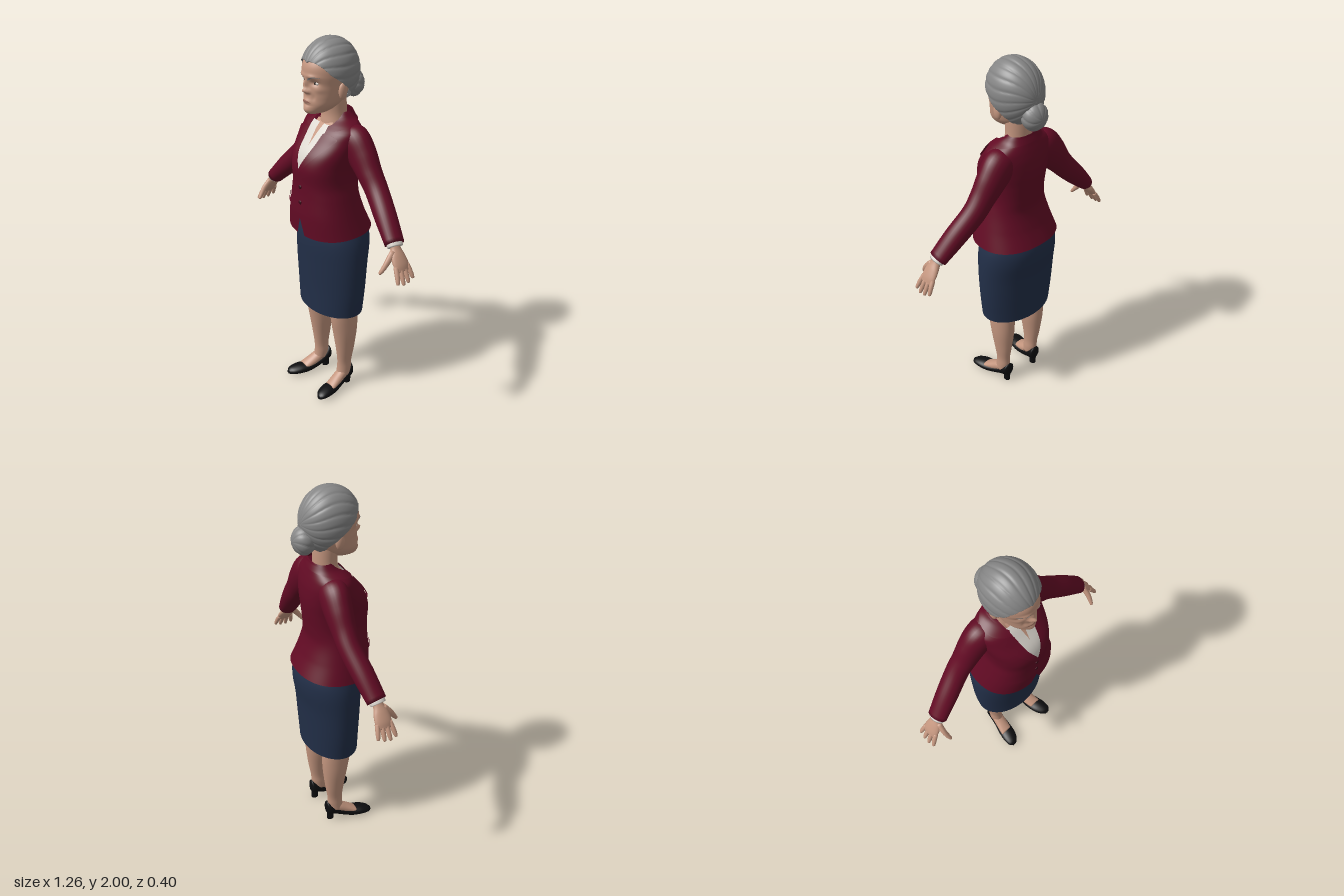
import * as THREE from 'three';
import { mergeVertices } from 'three/addons/utils/BufferGeometryUtils.js';

const mat = (name, color, side = THREE.FrontSide) => {
  const m = new THREE.MeshStandardMaterial({ color, side });
  m.name = name;
  return m;
};
const V = (x, y, z) => new THREE.Vector3(x, y, z);

// Smooth interpolation of table rows keyed on their first column
function spline(rows, x) {
  const n = rows.length - 1;
  x = Math.min(Math.max(x, rows[0][0]), rows[n][0]);
  let i = 0;
  while (i < n - 1 && x > rows[i + 1][0]) i++;
  const a = rows[i], b = rows[i + 1], h = b[0] - a[0], t = (x - a[0]) / h;
  const p = rows[Math.max(i - 1, 0)], q = rows[Math.min(i + 2, n)];
  return a.slice(1).map((_, k) => {
    const c = k + 1, m0 = (b[c] - p[c]) / (b[0] - p[0]), m1 = (q[c] - a[c]) / (q[0] - a[0]);
    const t2 = t * t, t3 = t2 * t;
    return (2 * t3 - 3 * t2 + 1) * a[c] + (t3 - 2 * t2 + t) * h * m0 + (3 * t2 - 2 * t3) * b[c] + (t3 - t2) * h * m1;
  });
}

// Surface from a rule fn(u, v); outward is (v direction) x (u direction)
function grid(fn, nu, nv) {
  const pos = [], idx = [];
  for (let i = 0; i <= nu; i++) for (let j = 0; j <= nv; j++) pos.push(...fn(i / nu, j / nv).toArray());
  for (let i = 0; i < nu; i++) for (let j = 0; j < nv; j++) {
    const a = i * (nv + 1) + j, c = a + nv + 1;
    idx.push(a, a + 1, c, a + 1, c + 1, c);
  }
  let g = new THREE.BufferGeometry();
  g.setAttribute('position', new THREE.Float32BufferAttribute(pos, 3));
  g.setIndex(idx);
  g = mergeVertices(g, 1e-5);
  g.computeVertexNormals();
  return g;
}

// Elliptical loft through rows [x, y, z, radius across, radius along ref]
function limb(rows, { ref = V(0, 0, 1), dir = null, cap = true, nu = 30, nv = 28, warp = (p) => p } = {}) {
  const keyed = rows.map((r, i) => [i, ...r]), last = rows.length - 1;
  const centre = (k) => V(...spline(keyed, k).slice(0, 3));
  return grid((u, v) => {
    const s = cap ? THREE.MathUtils.clamp((u * (nu + 2) - 1) / nu, 0, 1) : u;
    const k = s * last, r = spline(keyed, k), c = V(r[0], r[1], r[2]);
    if (cap && (u === 0 || u === 1)) return warp(c);
    const d = dir || centre(Math.min(k + 0.1, last)).sub(centre(Math.max(k - 0.1, 0))).normalize();
    const e2 = ref.clone().addScaledVector(d, -ref.dot(d)).normalize();
    const e1 = e2.clone().cross(d), t = (v % 1) * Math.PI * 2;
    return warp(c.addScaledVector(e1, r[3] * Math.cos(t)).addScaledVector(e2, r[4] * Math.sin(t)));
  }, cap ? nu + 2 : nu, nv);
}

function mirrored(g) {
  const m = g.clone().scale(-1, 1, 1), ix = m.index.array;
  for (let i = 0; i < ix.length; i += 3) [ix[i], ix[i + 1]] = [ix[i + 1], ix[i]];
  m.computeVertexNormals();
  return m;
}

// Jacket torso: [height, half width, front z, back z]
const TORSO = [[1.0, .228, .19, -.192], [1.1, .203, .195, -.155], [1.2, .178, .19, -.127], [1.27, .163, .19, -.13],
  [1.36, .165, .195, -.14], [1.43, .175, .172, -.145], [1.5, .183, .118, -.14], [1.55, .18, .078, -.128],
  [1.575, .15, .05, -.12], [1.6, .105, .02, -.112], [1.63, .08, 0, -.1]];
// Half width of the front opening
const OPENING = [[.98, .035], [1.03, .02], [1.09, 0], [1.33, 0], [1.45, .045], [1.55, .065], [1.6, .075], [1.63, .075]];
const opening = (y) => Math.max(0, spline(OPENING, y)[0]);
const P = 2.3;
const frontAngle = (x, y, off = 0) => Math.sign(x) * Math.asin(Math.min(.97, Math.abs(x) / (spline(TORSO, y)[0] + off)) ** (P / 2));
function torso(y, a, off = 0) {
  const [rx, zf, zb] = spline(TORSO, y), pw = (t) => Math.sign(t) * Math.abs(t) ** (2 / P);
  const hem = .013 * Math.cos(a) * Math.max(0, (1.1 - y) / .1);
  return V((rx + off) * pw(Math.sin(a)), y - hem, (zf + zb) / 2 + ((zf - zb) / 2 + off) * pw(Math.cos(a)));
}
const onFront = (x, y, off) => torso(y, frontAngle(x, y, off), off);

// Head rings: [height, centre z, half width, half depth]
const HEAD = [[1.633, .085, .022, .04], [1.645, .072, .048, .074], [1.68, .046, .078, .104], [1.72, .028, .092, .116],
  [1.78, .015, .104, .125], [1.83, .014, .112, .134], [1.88, .011, .112, .131], [1.93, .005, .095, .105], [1.97, 0, .05, .06]];
// Face relief: [x, y, spread x, spread y, height]
const RELIEF = [[0, 1.757, .016, .013, .028], [0, 1.79, .011, .024, .016], [0, 1.705, .026, .011, .007],
  [0, 1.66, .026, .014, .006], [0, 1.685, .03, .006, -.004]];
for (const s of [-1, 1]) RELIEF.push([s * .043, 1.797, .021, .013, -.013], [s * .038, 1.83, .03, .01, .007],
  [s * .065, 1.765, .02, .015, .005], [s * .018, 1.752, .008, .008, .009], [s * .04, 1.725, .009, .016, -.004]);
const relief = (x, y) => RELIEF.reduce((t, [cx, cy, sx, sy, h]) => t + h * Math.exp(-(((x - cx) / sx) ** 2) - ((y - cy) / sy) ** 2), 0);
function faceZ(x, y) {
  const [zc, rx, rz] = spline(HEAD, y);
  return zc + rz * Math.sqrt(Math.max(0, 1 - (x / rx) ** 2)) + relief(x, y);
}

// Combed hair mass running from a pole at the back to a hairline
const hairMass = (c, r, edge, ripple, nu, nv) => grid((u, v) => {
  const phi = -(v % 1) * Math.PI * 2, fold = 180 - Math.abs(180 - (v % 1) * 360);
  const th = THREE.MathUtils.degToRad(edge(fold)) * Math.min(1, u * 1.03);
  const k = (1 - ripple(phi, th)) * (u > .985 ? .9 : 1);
  return V(c[0] + k * r[0] * Math.sin(phi) * Math.sin(th), c[1] + k * r[1] * Math.cos(phi) * Math.sin(th), c[2] - k * r[2] * Math.cos(th));
}, nu, nv);

export function createModel() {
  const D = THREE.DoubleSide;
  const skin = mat('skin', 0xc4967f, D), jacket = mat('burgundy cloth', 0x620b24, D), skirt = mat('navy cloth', 0x222f48, D);
  const hair = mat('grey hair', 0x858585, D), leather = mat('black leather', 0x0d0d0f), blouse = mat('off white cloth', 0xdcd7cf, D);
  const eyeWhite = mat('eye white', 0xd2cbc4), dark = mat('dark iris', 0x2a1e1a), lip = mat('lip', 0x9c6a5c, D), button = mat('button', 0x3a0616);
  const root = new THREE.Group();
  root.name = 'woman';
  const add = (name, g, m) => {
    const o = new THREE.Mesh(g, m);
    o.name = name;
    root.add(o);
  };
  const pair = (name, g, m) => {
    add(name + 'Left', g, m);
    add(name + 'Right', mirrored(g), m);
  };
  const ball = (x, y, z, a, b, c) => new THREE.SphereGeometry(1, 20, 14).scale(a, b, c).translate(x, y, z);
  const up = V(0, 1, 0), fwd = V(0, 0, 1);

  // Skirt
  add('skirt', limb([[0, .51, -.007, .213, .143], [0, .65, -.01, .228, .148], [0, .8, -.012, .235, .157],
    [0, .92, -.018, .233, .168], [0, 1.0, -.02, .217, .162], [0, 1.08, -.015, .185, .135]], { dir: up, cap: false, nv: 56 }), skirt);

  // Jacket body with open front, lapels, collar, pocket flaps and buttons
  add('jacketBody', grid((u, v) => {
    const y = 1 + .63 * u, a0 = frontAngle(opening(y), y);
    return torso(y, a0 + v * (2 * Math.PI - 2 * a0));
  }, 60, 72), jacket);
  const LAPEL = [[1.33, 0], [1.36, .02], [1.45, .055], [1.5, .08], [1.525, .09], [1.54, .055]];
  pair('lapel', grid((u, v) => {
    const y = 1.33 + .21 * u;
    return onFront(opening(y) + v * spline(LAPEL, y)[0], y, .009);
  }, 30, 8), jacket);
  add('collar', grid((u, v) => {
    const a = .33 + v * (2 * Math.PI - .66), s = Math.abs(a - Math.PI) / Math.PI;
    return torso(THREE.MathUtils.lerp(1.598 - .062 * s * s, 1.632 - .085 * s ** 3, u), a, .01);
  }, 8, 60), jacket);
  pair('pocketFlap', grid((u, v) => onFront(.075 + .085 * v, 1.132 + .026 * u + .012 * v, .007), 4, 10), jacket);
  for (const y of [1.255, 1.17]) add('jacketButton', ball(0, y, torso(y, 0).z + .001, .011, .011, .005), button);

  // Blouse and the skin showing at its neckline
  pair('blouse', grid((u, v) => {
    const y = 1.3 + .27 * u, slit = Math.max(0, (y - 1.47) * .18);
    return onFront(slit + v * (opening(y) + .025 - slit), y, -.006);
  }, 24, 8), blouse);
  add('chest', grid((u, v) => onFront(-.06 + .12 * v, 1.42 + .16 * u, -.014), 12, 12), skin);

  // Sleeves, cuffs and hands
  pair('sleeve', limb([[.1, 1.52, -.04, .07, .07], [.145, 1.49, -.045, .093, .075], [.2, 1.43, -.05, .085, .07], [.26, 1.355, -.05, .068, .062],
    [.32, 1.285, -.048, .061, .058], [.42, 1.185, -.025, .055, .057], [.515, 1.088, -.003, .042, .052]], { nu: 40 }), jacket);
  pair('cuff', limb([[.5, 1.105, -.003, .034, .043], [.515, 1.088, -.002, .034, .043], [.525, 1.076, 0, .033, .041]], { nu: 6 }), blouse);
  pair('palm', limb([[.5, 1.105, -.003, .026, .03], [.525, 1.07, 0, .021, .028], [.55, 1.035, .003, .021, .041],
    [.575, 1.0, .003, .017, .045], [.592, .972, .003, .01, .038]]), skin);
  [.88, 1, .95, .8].forEach((len, i) => {
    const z = .039 - .024 * i, dz = .016 - .009 * i, at = (t, r) => [.58 + (.05 * t - .008 * t * t) * len, .99 - .078 * t * len, z + dz * t, r, r];
    pair('finger', limb([at(-.1, .012), at(.3, .0125), at(.7, .011), at(.95, .008), at(1, .003)], { nu: 14, nv: 12 }), skin);
  });
  pair('thumb', limb([[.535, 1.06, .02, .015, .018], [.54, 1.02, .058, .014, .016], [.537, .985, .085, .012, .012],
    [.532, .965, .1, .008, .008], [.531, .962, .102, .003, .003]], { nu: 16, nv: 14 }), skin);

  // Legs, feet and heeled shoes
  pair('leg', limb([[.105, .75, 0, .085, .09], [.11, .55, -.01, .066, .082], [.11, .45, -.015, .063, .08], [.11, .36, -.02, .058, .07],
    [.11, .25, -.022, .043, .055], [.108, .17, -.02, .033, .044], [.107, .12, -.018, .034, .043], [.108, .075, -.01, .034, .042]], { dir: V(0, -1, 0) }), skin);
  pair('foot', limb([[.105, .085, -.045, .028, .03], [.11, .078, 0, .033, .036], [.117, .058, .045, .036, .03], [.128, .036, .1, .036, .018]],
    { ref: up, dir: fwd }), skin);
  pair('shoe', limb([[.102, .085, -.072, .018, .028], [.103, .085, -.06, .034, .042], [.106, .062, -.02, .037, .03], [.114, .04, .03, .039, .027],
    [.124, .028, .08, .044, .027], [.134, .026, .13, .044, .025], [.143, .022, .17, .033, .019], [.147, .017, .19, .013, .01]], { ref: up, dir: fwd }), leather);
  pair('heel', limb([[.103, 0, -.045, .016, .02], [.103, .03, -.045, .018, .02], [.103, .075, -.043, .026, .028]], { dir: up, nu: 10 }), leather);

  // Neck and sculpted head
  add('neck', limb([[0, 1.48, -.01, .085, .06], [0, 1.56, -.02, .075, .065], [0, 1.62, -.025, .067, .062], [0, 1.7, -.02, .066, .065],
    [0, 1.76, -.02, .06, .06]], { dir: up }), skin);
  add('head', limb(HEAD.map(([y, z, a, b]) => [0, y, z, a, b]), {
    dir: up, nu: 90, nv: 112,
    warp: (p) => {
      if (p.z > .05) p.z += relief(p.x, p.y);
      return p;
    },
  }), skin);
  pair('ear', ball(.108, 1.752, .004, .015, .042, .024), skin);

  // Eyes, brows and mouth
  pair('eye', ball(.043, 1.796, faceZ(.043, 1.796) - .003, .018, .0085, .008), eyeWhite);
  pair('iris', ball(.041, 1.797, faceZ(.041, 1.797) + .002, .007, .0075, .005), dark);
  const patch = (rule, nu, nv) => grid((u, v) => {
    const [x, y] = rule(u, v);
    return V(x, y, faceZ(x, y) + .002);
  }, nu, nv);
  pair('brow', patch((u, v) => [.014 + .062 * v, 1.812 + .018 * Math.sin(v * 2.2) + (u - .5) * .009 * (1.1 - v)], 3, 16), hair);
  add('mouth', patch((u, v) => [-.034 + .068 * v, 1.704 - .008 * (2 * v - 1) ** 2 + (u - .5) * .012 * Math.sin(Math.PI * v)], 4, 20), lip);

  // Combed-back hair and bun
  const HAIRLINE = [[0, 158], [45, 146], [83, 122], [101, 97], [125, 72], [180, 60]];
  add('hair', hairMass([0, 1.83, 0], [.136, .171, .156], (f) => spline(HAIRLINE, f)[0],
    (p, t) => .03 * Math.sin(t) * (1 - Math.abs(Math.cos(p * 9 + .5 * Math.sin(t * 3)))) ** 2, 60, 180), hair);
  add('bun', hairMass([0, 1.745, -.137], [.07, .074, .06], () => 180,
    (p, t) => .07 * Math.sin(t) * (1 - Math.abs(Math.cos(p * 4 + t * 1.2))) ** 2, 36, 96), hair);
  return root;
}
